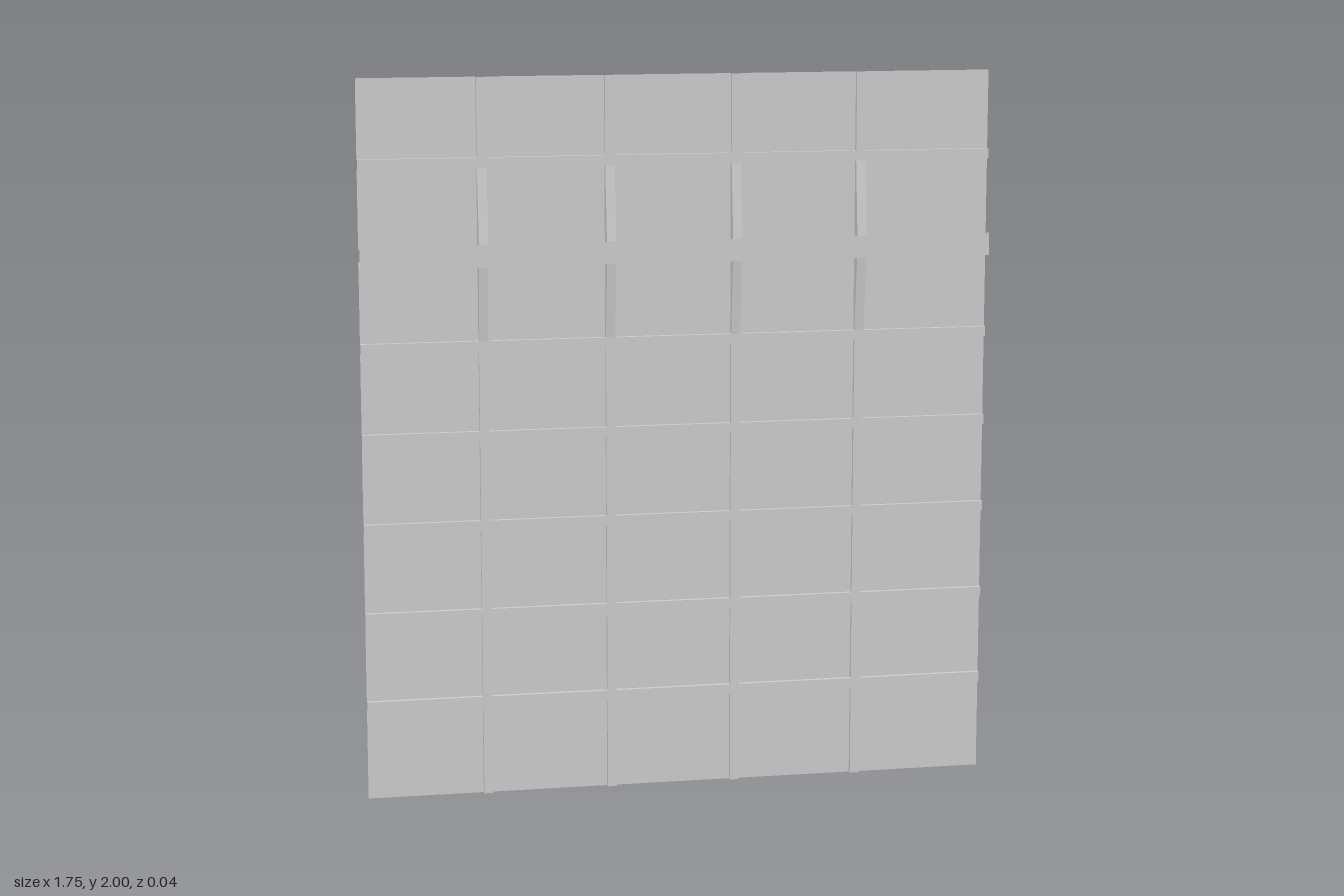
import * as THREE from 'three';

const HALF = 0.877, TOP = 2;
const BACK = -0.018, RIB = -0.005, BAR = 0.018; // depth of panels, ribs and the proud bar

// A sheet made of loose quads, so every fold stays sharp
function sheet(name, quads) {
  const pos = [];
  for (const [a, b, c, d] of quads) pos.push(...a, ...b, ...c, ...a, ...c, ...d);
  const geo = new THREE.BufferGeometry();
  geo.setAttribute('position', new THREE.Float32BufferAttribute(pos, 3));
  geo.computeVertexNormals();
  const mesh = new THREE.Mesh(geo, new THREE.MeshStandardMaterial({ color: 0xcccccc, side: THREE.DoubleSide }));
  mesh.name = name;
  return mesh;
}

export function createModel() {
  const group = new THREE.Group();
  group.name = 'ribbedWallPanel';

  // Vertical ribs: left and right edge of each
  const vRibs = [];
  for (let i = 0; i < 4; i++) {
    const x = -0.554 + 0.351 * i;
    vRibs.push([x, x + 0.026]);
  }

  // Horizontal ribs: edges at the panels (lo, hi) and at the face (faceLo, faceHi)
  const hRibs = [];
  for (let k = 0; k < 7; k++) {
    const lo = 0.252 + 0.2505 * k, hi = lo + 0.028;
    const isBar = k === 5, flare = isBar ? 0.017 : 0; // the bar flares and stands proud
    hRibs.push({ lo, hi, faceLo: lo - flare, faceHi: hi + flare, z: isBar ? BAR : RIB, isBar });
  }

  // Panel columns and rows lie between the ribs
  const cols = [];
  for (let i = 0; i <= vRibs.length; i++)
    cols.push([i ? vRibs[i - 1][1] : -HALF, i < vRibs.length ? vRibs[i][0] : HALF]);

  const rows = [];
  for (let k = 0; k <= hRibs.length; k++) {
    const below = hRibs[k - 1], above = hRibs[k];
    rows.push({
      lo: below ? below.hi : 0, faceLo: below ? below.faceHi : 0, zLo: below ? below.z : RIB,
      hi: above ? above.lo : TOP, faceHi: above ? above.faceLo : TOP, zHi: above ? above.z : RIB,
    });
  }

  // Flat recessed panels
  const panels = [];
  for (const [a, b] of cols)
    for (const r of rows)
      panels.push([[a, r.lo, BACK], [b, r.lo, BACK], [b, r.hi, BACK], [a, r.hi, BACK]]);
  group.add(sheet('panels', panels));

  // Horizontal ribs: full-width face, walls only beside the panels
  const horizontal = (r) => {
    const quads = [[[-HALF, r.faceLo, r.z], [HALF, r.faceLo, r.z], [HALF, r.faceHi, r.z], [-HALF, r.faceHi, r.z]]];
    for (const [a, b] of cols) {
      quads.push([[a, r.faceHi, r.z], [b, r.faceHi, r.z], [b, r.hi, BACK], [a, r.hi, BACK]]);
      quads.push([[a, r.lo, BACK], [b, r.lo, BACK], [b, r.faceLo, r.z], [a, r.faceLo, r.z]]);
    }
    return quads;
  };
  group.add(sheet('horizontalRibs', hRibs.filter((r) => !r.isBar).flatMap(horizontal)));
  group.add(sheet('proudBar', hRibs.filter((r) => r.isBar).flatMap(horizontal)));

  // Vertical ribs: faces ramp up to the bar, with a wall on each side
  const vertical = [];
  for (const [a, b] of vRibs)
    for (const r of rows) {
      vertical.push([[a, r.faceLo, r.zLo], [b, r.faceLo, r.zLo], [b, r.faceHi, r.zHi], [a, r.faceHi, r.zHi]]);
      vertical.push([[b, r.faceLo, r.zLo], [b, r.lo, BACK], [b, r.hi, BACK], [b, r.faceHi, r.zHi]]);
      vertical.push([[a, r.lo, BACK], [a, r.faceLo, r.zLo], [a, r.faceHi, r.zHi], [a, r.hi, BACK]]);
    }
  group.add(sheet('verticalRibs', vertical));

  return group;
}
